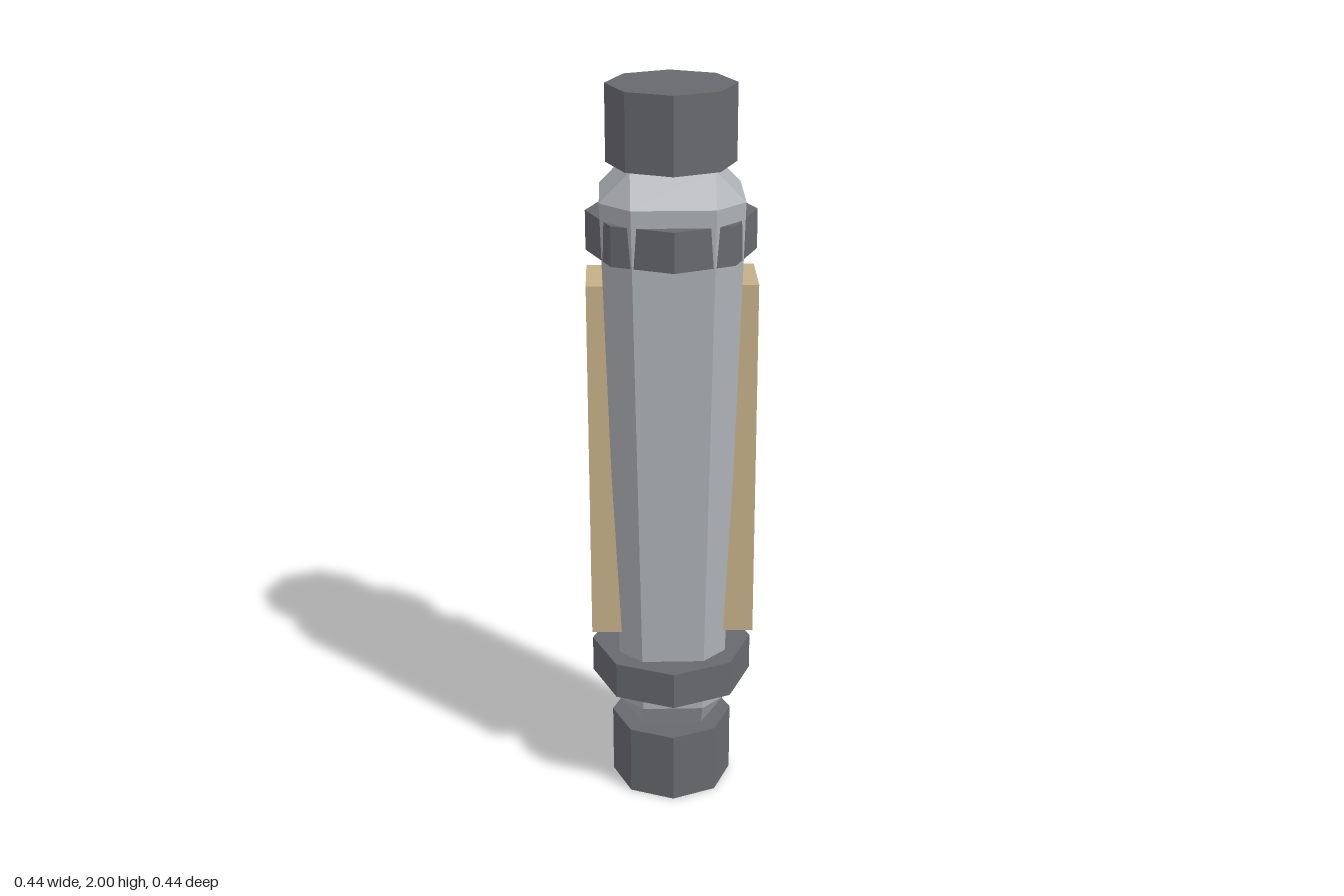
import * as THREE from 'three';
import { ConvexGeometry } from 'three/addons/geometries/ConvexGeometry.js';

function material(name, color) {
  const m = new THREE.MeshStandardMaterial({ color, flatShading: true });
  m.name = name;
  return m;
}

export function createModel() {
  const model = new THREE.Group();
  model.name = 'cylinderDevice';
  const steel = material('light steel', 0xaeb1b6);
  const dark = material('dark metal', 0x68696e);
  const tan = material('tan', 0xc4b087);

  function add(name, geometry, mat, x, y) {
    const mesh = new THREE.Mesh(geometry, mat);
    mesh.name = name;
    mesh.position.set(x, y, 0);
    model.add(mesh);
  }

  // Octagonal collar or cap between two heights
  function octagon(name, radius, y0, y1) {
    add(name, new THREE.CylinderGeometry(radius, radius, y1 - y0, 8), dark, 0, (y0 + y1) / 2);
  }

  // Tapered body: a box with every edge bevelled, wider at the top
  const points = [];
  const ends = [
    { rim: 0.28, cap: 0.2, outer: 0.142, inner: 0.082 },
    { rim: 1.72, cap: 1.8, outer: 0.185, inner: 0.107 },
  ];
  for (const { rim, cap, outer, inner } of ends) {
    for (const sx of [-1, 1]) {
      for (const sz of [-1, 1]) {
        points.push(
          new THREE.Vector3(sx * outer, rim, sz * inner),
          new THREE.Vector3(sx * inner, rim, sz * outer),
          new THREE.Vector3(sx * inner, cap, sz * inner),
        );
      }
    }
  }
  add('body', new ConvexGeometry(points), steel, 0, 0);

  // End caps and collars
  octagon('bottomCap', 0.168, 0, 0.2);
  octagon('topCap', 0.168, 1.8, 2);
  octagon('lowerCollar', 0.222, 0.33, 0.433);
  octagon('upperCollar', 0.222, 1.57, 1.675);

  // Side grips
  for (const side of [-1, 1]) {
    add(side > 0 ? 'leftGrip' : 'rightGrip', new THREE.BoxGeometry(0.122, 1, 0.188), tan, side * 0.161, 1);
  }
  return model;
}
